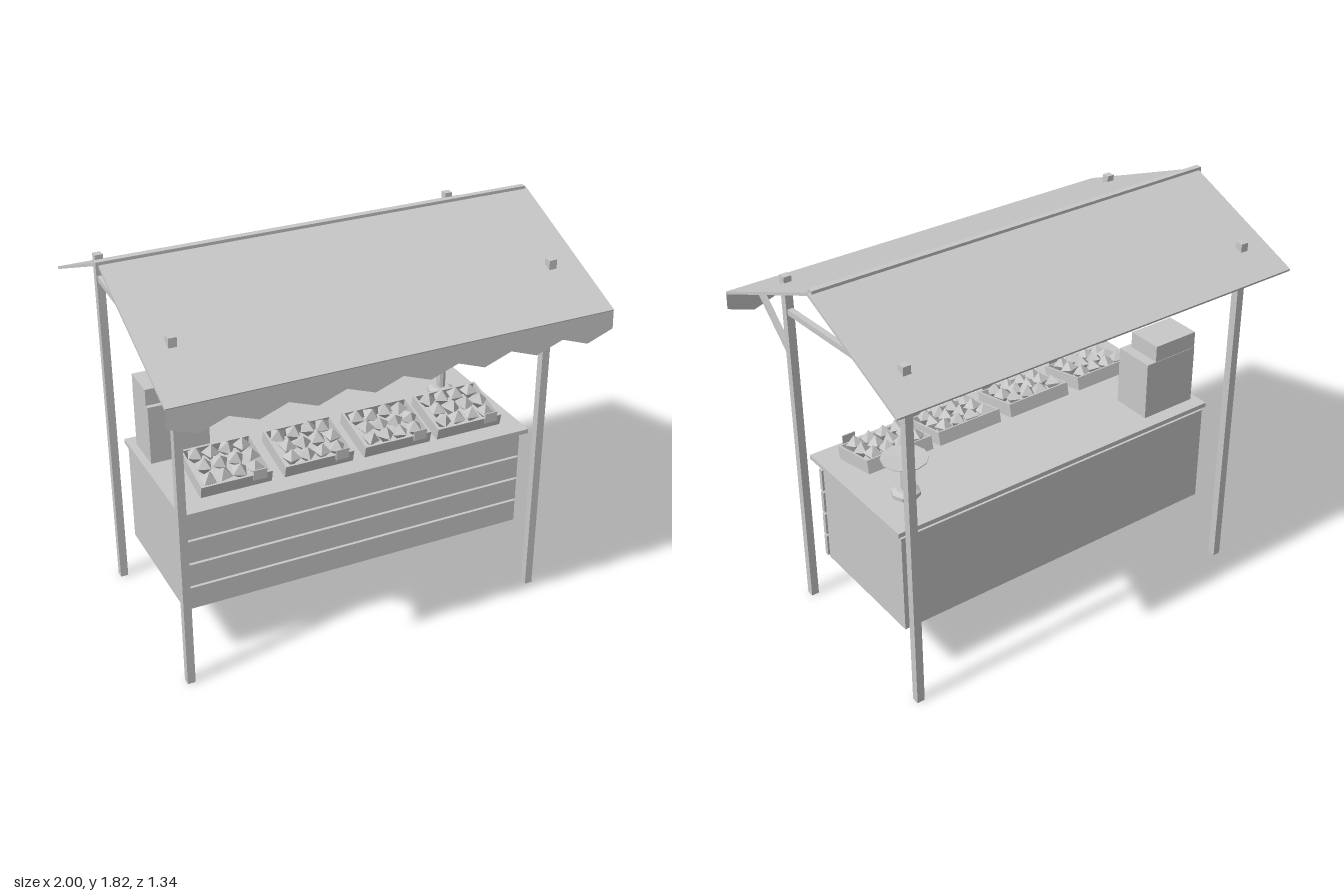
import * as THREE from 'three';

const grey = new THREE.MeshStandardMaterial({ color: 0xc8c8c8 });
grey.name = 'plain grey';
grey.flatShading = true;
const cloth = grey.clone();
cloth.name = 'grey cloth';
cloth.side = THREE.DoubleSide;

function add(parent, name, geometry, material = grey) {
  const mesh = new THREE.Mesh(geometry, material);
  mesh.name = name;
  parent.add(mesh);
  return mesh;
}

// Box given by its limits on each axis
function box(parent, name, x0, x1, y0, y1, z0, z1) {
  const mesh = add(parent, name, new THREE.BoxGeometry(x1 - x0, y1 - y0, z1 - z0));
  mesh.position.set((x0 + x1) / 2, (y0 + y1) / 2, (z0 + z1) / 2);
  return mesh;
}

// Beam lying in the side plane between two (z, y) points
function beam(parent, name, x, width, thick, [z0, y0], [z1, y1]) {
  const length = Math.hypot(z1 - z0, y1 - y0);
  const mesh = add(parent, name, new THREE.BoxGeometry(width, thick, length));
  mesh.position.set(x, (y0 + y1) / 2, (z0 + z1) / 2);
  mesh.rotation.x = -Math.atan2(y1 - y0, z1 - z0);
  return mesh;
}

let seed = 7;
function rand() {
  seed = (seed * 16807) % 2147483647;
  return seed / 2147483647;
}

function makeFrame() {
  const frame = new THREE.Group();
  frame.name = 'frame';
  for (const x of [-0.855, 0.855]) {
    for (const z of [0.386, -0.503]) {
      box(frame, 'post', x - 0.018, x + 0.018, 0, 1.66, z - 0.018, z + 0.018);
    }
    beam(frame, 'sideRail', x, 0.026, 0.026, [-0.5, 1.552], [0.386, 1.497]);
    beam(frame, 'awningBrace', x, 0.022, 0.026, [0.4, 1.29], [0.632, 1.492]);
  }
  return frame;
}

function makeRoof() {
  const roof = new THREE.Group();
  roof.name = 'roof';
  beam(roof, 'frontRoofPanel', 0.005, 1.986, 0.012, [-0.06, 1.806], [0.66, 1.505]);
  beam(roof, 'backRoofPanel', 0.005, 1.986, 0.012, [-0.667, 1.555], [-0.06, 1.806]);
  box(roof, 'ridgePole', -1, 0.985, 1.795, 1.82, -0.074, -0.046);

  // Zigzag valance hanging from the front eave
  const shape = new THREE.Shape();
  shape.moveTo(0.998, 0);
  shape.lineTo(-0.988, 0);
  const steps = 16;
  for (let i = 0; i <= steps; i++) {
    shape.lineTo(-0.988 + (1.986 * i) / steps, i % 2 ? -0.127 : -0.083);
  }
  const valance = add(roof, 'valance', new THREE.ShapeGeometry(shape), cloth);
  valance.position.set(0, 1.508, 0.66);
  valance.rotation.x = -0.06;
  return roof;
}

function makeCounter() {
  const counter = new THREE.Group();
  counter.name = 'counter';
  box(counter, 'counterTop', -0.835, 0.845, 0.782, 0.803, -0.386, 0.324);
  box(counter, 'cabinet', -0.82, 0.83, 0.29, 0.767, -0.38, 0.24);
  for (let i = 0; i < 4; i++) {
    const y = 0.29 + i * 0.118;
    box(counter, 'frontSlat', -0.825, 0.832, y, y + 0.107, 0.254, 0.275);
  }
  return counter;
}

// Open tilted crate, its origin at the lower front edge
function makeCrate() {
  const crate = new THREE.Group();
  crate.name = 'produceCrate';
  const w = 0.163, d = 0.25, h = 0.062, t = 0.01;
  box(crate, 'crateFloor', -w, w, 0, t, -d, 0);
  box(crate, 'crateFront', -w, w, 0, h, -t, 0);
  box(crate, 'crateBack', -w, w, 0, h, -d, t - d);
  for (const s of [-1, 1]) {
    const x = s * (w - t / 2);
    box(crate, 'crateSide', x - t / 2, x + t / 2, 0, h, -d, 0);
  }
  // Faceted produce in staggered rows
  for (let row = 0; row < 3; row++) {
    for (let col = 0; col < 4; col++) {
      const item = add(crate, 'produce', new THREE.OctahedronGeometry(0.042));
      item.position.set(
        -0.114 + col * 0.072 + (row % 2) * 0.012,
        0.055 + rand() * 0.008,
        -0.05 - row * 0.075
      );
      item.rotation.set((rand() - 0.5) * 0.4, rand() * 3, (rand() - 0.5) * 0.4);
    }
  }
  crate.rotation.x = 0.22;
  return crate;
}

function makeScale() {
  const scale = new THREE.Group();
  scale.name = 'weighingScale';
  const lathe = (name, points, sides) =>
    add(scale, name, new THREE.LatheGeometry(points.map(([r, y]) => new THREE.Vector2(r, y)), sides));
  lathe('scaleBase', [[0, 0], [0.064, 0], [0.064, 0.018], [0.042, 0.03], [0, 0.03]], 8);
  lathe('scaleColumn', [[0.021, 0.02], [0.021, 0.155]], 8);
  lathe('scalePan', [[0, 0.147], [0.035, 0.15], [0.102, 0.18], [0.102, 0.184], [0, 0.18]], 12);
  scale.position.set(0.667, 0.803, -0.168);
  return scale;
}

export function createModel() {
  const model = new THREE.Group();
  model.name = 'marketStall';
  model.add(makeFrame(), makeRoof(), makeCounter(), makeScale());

  // Crates of produce with a price card in front of each
  for (const x of [-0.545, -0.158, 0.225, 0.588]) {
    const crate = makeCrate();
    crate.position.set(x, 0.798, 0.226);
    model.add(crate);
    box(model, 'priceCard', x + 0.068, x + 0.13, 0.843, 0.89, 0.25, 0.256);
  }

  // Stacked storage boxes
  box(model, 'lowerBox', -0.8, -0.523, 0.803, 1.08, -0.32, -0.128);
  box(model, 'upperBox', -0.8, -0.572, 1.08, 1.157, -0.318, -0.15);
  return model;
}
